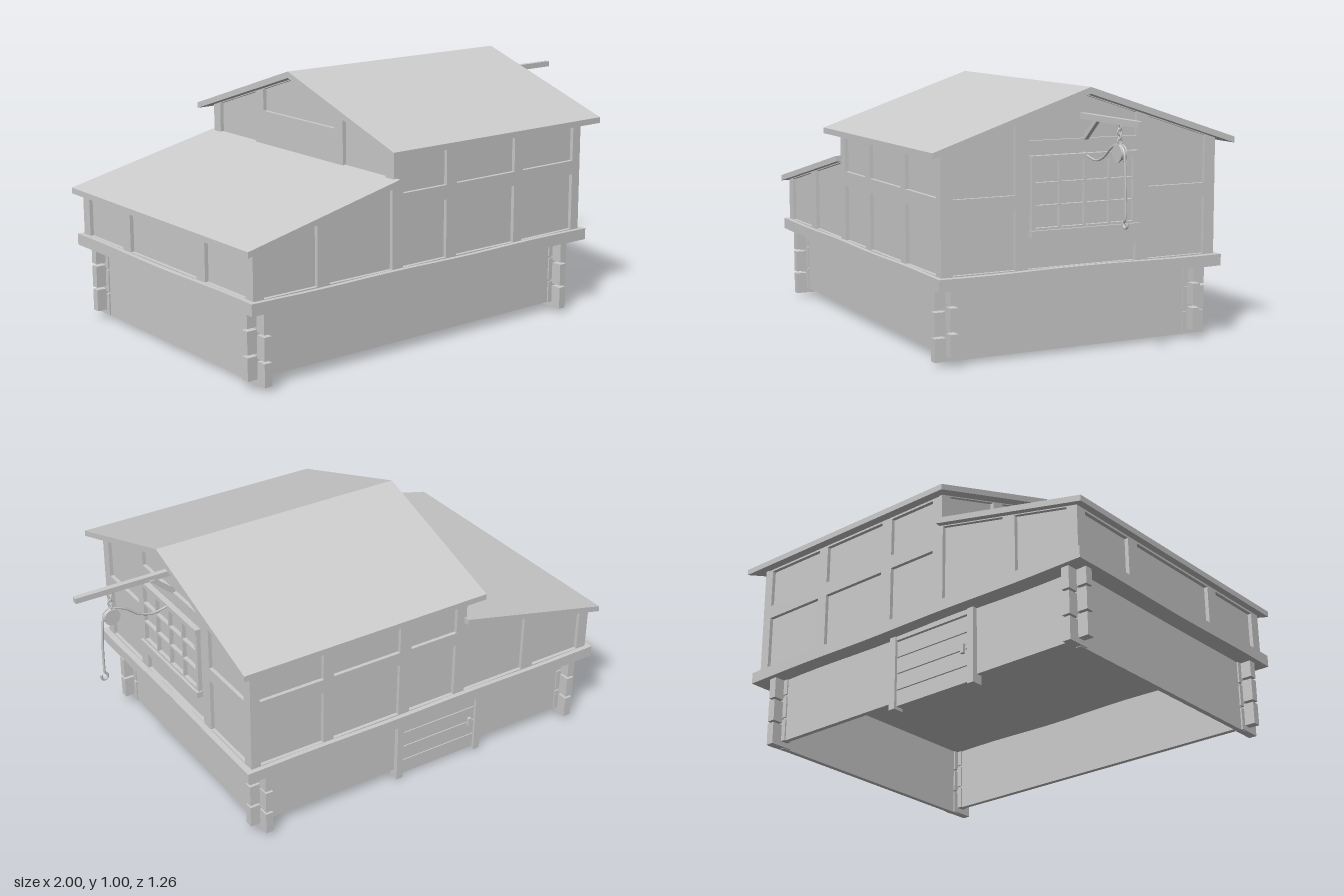
import * as THREE from 'three';

const timber = new THREE.MeshStandardMaterial({ color: 0xcccccc });
timber.name = 'plainGrey';

export function createModel() {
  const house = new THREE.Group();
  house.name = 'timberHouse';

  const add = (name, geo, parent = house) => {
    const m = new THREE.Mesh(geo, timber);
    m.name = name;
    parent.add(m);
    return m;
  };
  // box given by its limits
  const box = (name, x0, x1, y0, y1, z0, z1, parent) => {
    const m = add(name, new THREE.BoxGeometry(x1 - x0, y1 - y0, z1 - z0), parent);
    m.position.set((x0 + x1) / 2, (y0 + y1) / 2, (z0 + z1) / 2);
    return m;
  };
  const path = (pts) => pts.map(([x, y]) => new THREE.Vector2(x, y));
  const extrude = (pts, holes, depth) => {
    const s = new THREE.Shape(path(pts));
    holes.forEach((h) => s.holes.push(new THREE.Path(path(h))));
    return new THREE.ExtrudeGeometry(s, { depth, bevelEnabled: false });
  };
  const rect = (a, b, y0, y1) => [[a, y0], [b, y0], [b, y1], [a, y1]];
  const D = 0.015; // timber frame relief
  const Z = 0.576; // outer face of the upper walls

  const roofUnder = (z) => 0.969 - 0.327 * Math.abs(z);
  const leanUnder = (x) => 0.5 + 0.228 * (x + 1);

  // ---- log-cornered base, open underneath ----
  const base = new THREE.Group();
  base.name = 'base';
  house.add(base);
  for (const s of [-1, 1]) {
    box('longBaseWall', -0.9, 0.53, 0.035, 0.3, s * 0.515 - 0.01, s * 0.515 + 0.01, base);
    const x = s > 0 ? 0.535 : -0.905;
    box('shortBaseWall', x - 0.01, x + 0.01, 0.013, 0.3, -0.51, 0.51, base);
    for (const t of [-1, 1]) {
      const xe = s > 0 ? [0.5, 0.592] : [-0.962, -0.87];
      const ze = t > 0 ? [0.48, 0.575] : [-0.575, -0.48];
      for (let i = 0; i < 3; i++) {
        const y = i * 0.096;
        box('longLogEnd', xe[0], xe[1], 0.035 + y, Math.min(0.121 + y, 0.3), t * 0.515 - 0.016, t * 0.515 + 0.016, base);
        box('crossLogEnd', x - 0.016, x + 0.016, 0.015 + y, Math.min(0.102 + y, 0.3), ze[0], ze[1], base);
      }
    }
  }

  // ---- floor slab with a slightly uneven edge ----
  const slab = new THREE.BoxGeometry(1.62, 0.045, 1.19, 16, 1, 12);
  const p = slab.attributes.position;
  for (let i = 0; i < p.count; i++) {
    p.setY(i, p.getY(i) + 0.003 * Math.sin(p.getX(i) * 9) * Math.cos(p.getZ(i) * 7));
  }
  slab.computeVertexNormals();
  add('floorBand', slab).position.set(-0.175, 0.312, 0);

  // ---- back door of the base ----
  const door = new THREE.Group();
  door.name = 'baseDoor';
  house.add(door);
  for (const x of [-0.47, -0.093]) box('doorPost', x, x + 0.028, 0, 0.295, -0.545, -0.5, door);
  for (let i = 0; i < 4; i++) {
    box('doorPlank', -0.443, -0.092, 0.012 + i * 0.065, 0.073 + i * 0.065, -0.534, -0.522, door);
  }
  box('doorBacking', -0.443, -0.092, 0.012, 0.27, -0.526, -0.5, door);
  box('doorLintel', -0.443, -0.092, 0.272, 0.295, -0.54, -0.5, door);
  box('doorHandle', -0.424, -0.41, 0.125, 0.16, -0.546, -0.53, door);

  // ---- main upper storey ----
  const zi = Z - D;
  const gablePts = (z, y0) => [[-z, y0], [z, y0], [z, roofUnder(z)], [0, roofUnder(0)], [-z, roofUnder(z)]];
  const core = add('mainInfill', extrude(gablePts(zi, 0.32), [], 0.925));
  core.rotation.y = Math.PI / 2;
  core.position.x = -0.33;

  const cols = [[-0.3, -0.09], [-0.04, 0.255], [0.3, 0.57]];
  const longHoles = cols.flatMap(([a, b]) => [rect(a, b, 0.337, 0.56), rect(a, b, 0.615, 0.77)]);
  const longFrame = extrude(rect(-0.345, 0.61, 0.32, 0.778), longHoles, D);
  for (const z of [zi, -Z]) add('longTimberFrame', longFrame).position.z = z;

  // gable frame: upper panels follow the roof slope
  const sideHole = (s) => [[s * 0.53, 0.61], [s * 0.28, 0.61], [s * 0.28, roofUnder(0.28) - 0.004], [s * 0.53, roofUnder(0.53) - 0.004]];
  const gableHoles = [
    rect(-0.53, -0.28, 0.337, 0.555), rect(0.28, 0.53, 0.337, 0.555), sideHole(1), sideHole(-1),
    rect(-0.226, 0.226, 0.337, 0.4),
    [[-0.226, 0.805], [0.226, 0.805], [0.226, roofUnder(0.226) - 0.004], [0, roofUnder(0) - 0.004], [-0.226, roofUnder(0.226) - 0.004]],
  ];
  const gableFrame = extrude(gablePts(Z, 0.32), gableHoles, D);
  for (const x of [0.61 - D, -0.345]) {
    const f = add('gableTimberFrame', gableFrame);
    f.rotation.y = Math.PI / 2;
    f.position.x = x;
  }

  // pitched roof
  const roof = add('mainRoof', extrude(
    [[-0.63, 0.763], [0, 0.97], [0.63, 0.763], [0.63, 0.786], [0, 0.995], [-0.63, 0.786]], [], 1.052));
  roof.rotation.y = Math.PI / 2;
  roof.position.x = -0.39;

  // ---- lean-to ----
  const leanPts = (x) => [[x, 0.32], [-0.34, 0.32], [-0.34, leanUnder(-0.34)], [x, leanUnder(x)]];
  add('leanToInfill', extrude(leanPts(-0.95), [], zi * 2)).position.z = -zi;
  const leanHole = (a, b) => [[a, 0.337], [b, 0.337], [b, leanUnder(b) - 0.004], [a, leanUnder(a) - 0.004]];
  const leanFrame = extrude(leanPts(-0.965), [leanHole(-0.92, -0.69), leanHole(-0.635, -0.35)], D);
  for (const z of [zi, -Z]) add('leanToSideFrame', leanFrame).position.z = z;
  const endHoles = [[-0.53, -0.28], [-0.226, 0.226], [0.28, 0.53]].map(([a, b]) => rect(a, b, 0.337, 0.5));
  const end = add('leanToEndFrame', extrude(rect(-Z, Z, 0.32, 0.508), endHoles, D));
  end.rotation.y = Math.PI / 2;
  end.position.x = -0.965;
  add('leanToRoof', extrude([[-1, 0.5], [-0.335, 0.652], [-0.335, 0.675], [-1, 0.523]], [], 1.2)).position.z = -0.6;

  // ---- gable window ----
  const win = new THREE.Group();
  win.name = 'gableWindow';
  house.add(win);
  box('lintel', 0.6, 0.633, 0.732, 0.752, -0.226, 0.226, win);
  box('sill', 0.6, 0.637, 0.455, 0.48, -0.226, 0.226, win);
  const panes = [];
  for (let c = 0; c < 4; c++) {
    for (let r = 0; r < 3; r++) {
      panes.push(rect(-0.205 + c * 0.1045, -0.109 + c * 0.1045, 0.488 + r * 0.083, 0.562 + r * 0.083));
    }
  }
  const sash = add('windowSash', extrude(rect(-0.222, 0.222, 0.47, 0.74), panes, 0.026), win);
  sash.rotation.y = Math.PI / 2;
  sash.position.x = 0.6;

  // ---- hoist: beam, brace, chain, pulley, rope and hook ----
  const hoist = new THREE.Group();
  hoist.name = 'hoist';
  hoist.position.z = -0.003;
  house.add(hoist);
  box('hoistBeam', 0.58, 1, 0.875, 0.897, -0.011, 0.011, hoist);
  add('hoistBrace', extrude([[0.6, 0.79], [0.6, 0.815], [0.68, 0.88], [0.705, 0.88]], [], 0.016), hoist).position.z = -0.016;
  for (let i = 0; i < 4; i++) {
    const link = add('chainLink', new THREE.TorusGeometry(0.01, 0.003, 6, 12), hoist);
    link.position.set(0.86, 0.867 - i * 0.017, 0);
    link.rotation.y = (i % 2) * Math.PI / 2;
  }
  for (const z of [-0.009, 0.009]) {
    const cheek = add('pulleyCheek', new THREE.CylinderGeometry(0.032, 0.032, 0.006, 20), hoist);
    cheek.rotation.x = Math.PI / 2;
    cheek.position.set(0.86, 0.774, z);
  }
  const wheel = add('pulleyWheel', new THREE.CylinderGeometry(0.026, 0.026, 0.014, 20), hoist);
  wheel.rotation.x = Math.PI / 2;
  wheel.position.set(0.86, 0.774, 0);

  const tube = (name, pts, r) => add(name, new THREE.TubeGeometry(
    new THREE.CatmullRomCurve3(pts.map(([x, y]) => new THREE.Vector3(x, y, 0))), 40, r, 6), hoist);
  tube('rope', [[0.61, 0.752], [0.65, 0.738], [0.7, 0.733], [0.75, 0.75], [0.81, 0.792], [0.86, 0.804],
    [0.888, 0.785], [0.897, 0.74], [0.903, 0.65], [0.904, 0.56]], 0.0045);
  tube('hook', [[0.904, 0.565], [0.903, 0.545], [0.892, 0.53], [0.896, 0.516], [0.907, 0.513], [0.917, 0.522], [0.917, 0.535]], 0.005);

  return house;
}
